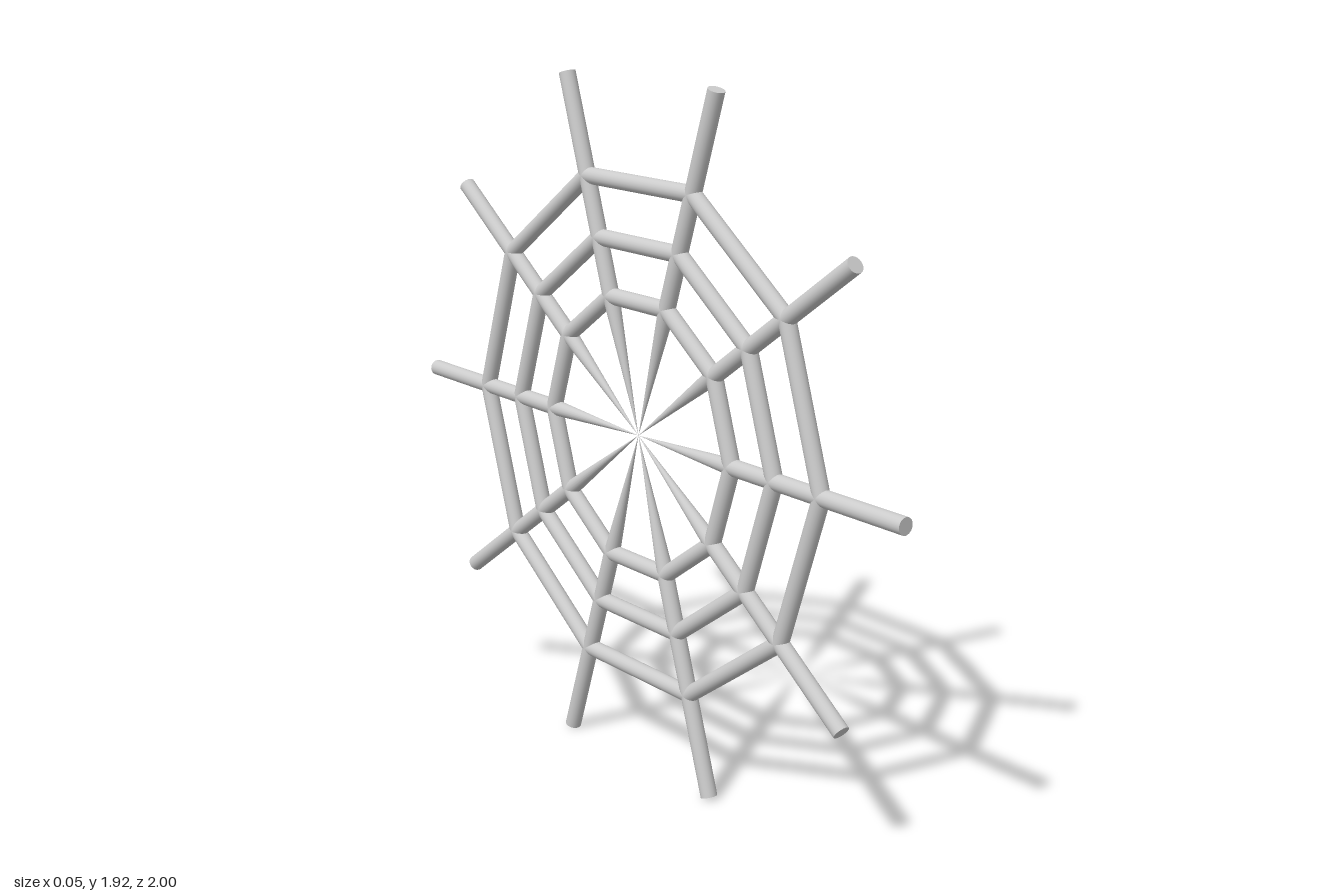
import * as THREE from 'three';

const SPOKES = 10, R = 0.023, CENTRE_Y = 0.958;
const RINGS = [0.385, 0.547, 0.717];
const material = new THREE.MeshStandardMaterial({ color: 0xcccccc });

// point in the upright web plane, i-th spoke direction at a given radius
function onSpoke(i, radius) {
  const a = (i / SPOKES) * Math.PI * 2;
  return new THREE.Vector3(0, Math.sin(a) * radius, Math.cos(a) * radius);
}

// round bar from a to b; startRadius 0 makes it a pointed cone
function bar(name, a, b, startRadius = R, open = false) {
  const dir = b.clone().sub(a);
  const mesh = new THREE.Mesh(
    new THREE.CylinderGeometry(R, startRadius, dir.length(), 20, 1, open), material);
  mesh.position.copy(a).add(b).multiplyScalar(0.5);
  mesh.quaternion.setFromUnitVectors(new THREE.Vector3(0, 1, 0), dir.normalize());
  mesh.name = name;
  return mesh;
}

export function createModel() {
  const web = new THREE.Group();
  web.name = 'web';
  web.position.y = CENTRE_Y;

  // spokes: tapered to a point at the hub, straight beyond the inner ring
  for (let i = 0; i < SPOKES; i++) {
    const spoke = new THREE.Group();
    spoke.name = 'spoke';
    spoke.add(bar('spokeTaper', new THREE.Vector3(), onSpoke(i, RINGS[0]), 0, true));
    spoke.add(bar('spokeShaft', onSpoke(i, RINGS[0]), onSpoke(i, 1)));
    web.add(spoke);
  }

  // three concentric ten-sided rings of cross threads
  RINGS.forEach((radius) => {
    const ring = new THREE.Group();
    ring.name = 'ring';
    for (let i = 0; i < SPOKES; i++) {
      ring.add(bar('crossThread', onSpoke(i, radius), onSpoke(i + 1, radius)));
    }
    web.add(ring);
  });

  const model = new THREE.Group();
  model.name = 'spiderWeb';
  model.add(web);
  return model;
}
